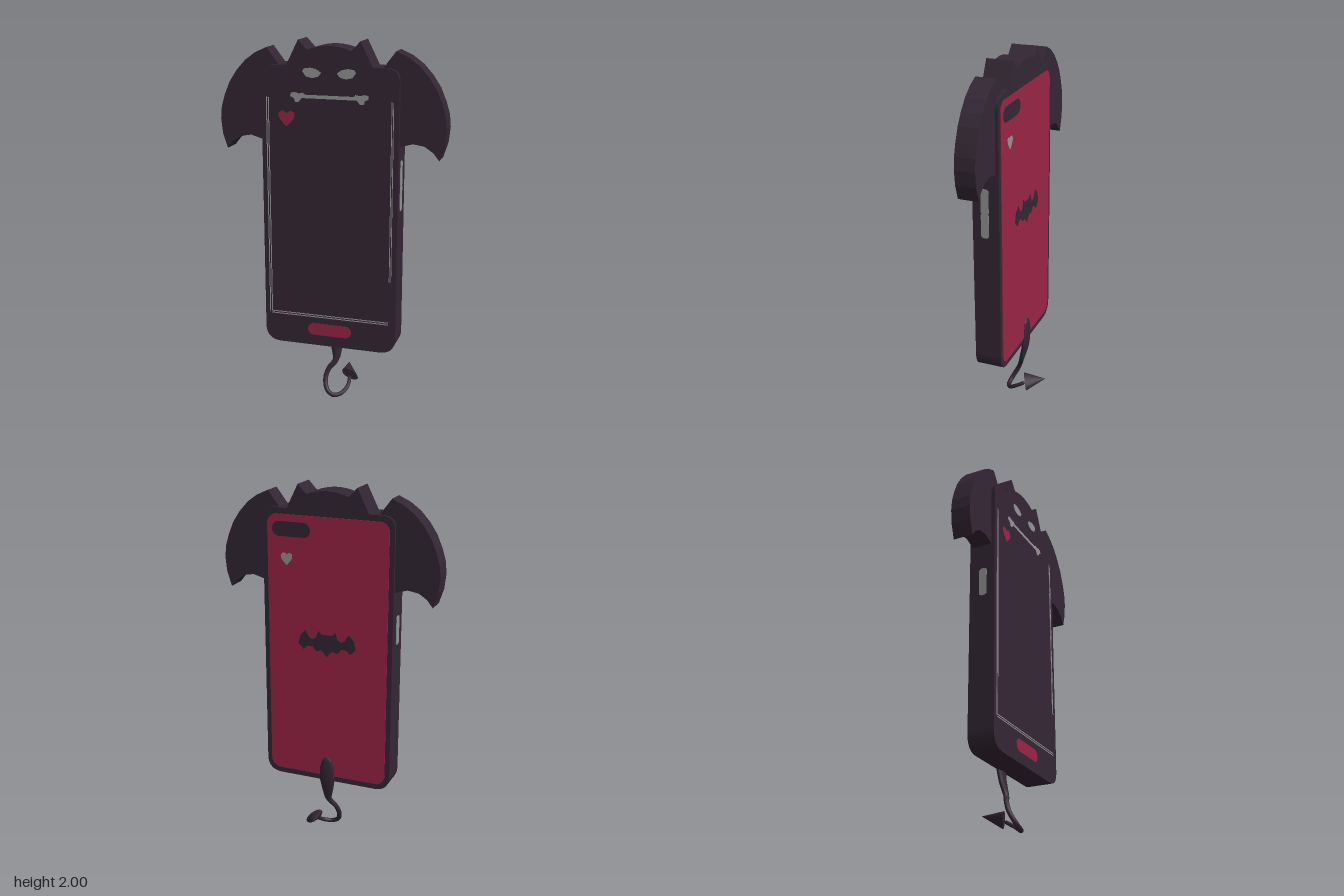
import * as THREE from 'three';

const dark = new THREE.MeshStandardMaterial({ color: 0x332633 });
dark.name = 'darkPlum';
const red = new THREE.MeshStandardMaterial({ color: 0x9a2446 });
red.name = 'crimson';
const grey = new THREE.MeshStandardMaterial({ color: 0x949496 });
grey.name = 'grey';

const FRONT = 0.14, BACK = -0.006;

// Closed outline from points, optionally mirrored in x
function outline(pts, sign = 1) {
  return new THREE.Shape(pts.map(([x, y]) => new THREE.Vector2(x * sign, y)));
}

function roundedRect(x0, y0, x1, y1, r) {
  const s = new THREE.Shape();
  s.absarc(x1 - r, y1 - r, r, 0, Math.PI / 2);
  s.absarc(x0 + r, y1 - r, r, Math.PI / 2, Math.PI);
  s.absarc(x0 + r, y0 + r, r, Math.PI, Math.PI * 1.5);
  s.absarc(x1 - r, y0 + r, r, Math.PI * 1.5, Math.PI * 2);
  return s;
}

function heart(cx, cy, w, h) {
  const s = new THREE.Shape();
  s.moveTo(cx, cy - h / 2);
  s.bezierCurveTo(cx - w * 0.3, cy - h * 0.2, cx - w * 0.55, cy, cx - w * 0.5, cy + h * 0.25);
  s.bezierCurveTo(cx - w * 0.4, cy + h * 0.55, cx - w * 0.1, cy + h * 0.5, cx, cy + h * 0.28);
  s.bezierCurveTo(cx + w * 0.1, cy + h * 0.5, cx + w * 0.4, cy + h * 0.55, cx + w * 0.5, cy + h * 0.25);
  s.bezierCurveTo(cx + w * 0.55, cy, cx + w * 0.3, cy - h * 0.2, cx, cy - h / 2);
  return s;
}

export function createModel() {
  const group = new THREE.Group();

  // Flat part extruded between z0 and z1
  function slab(name, shape, z0, z1, material) {
    const geo = new THREE.ExtrudeGeometry(shape, { depth: z1 - z0, bevelEnabled: false, curveSegments: 10 });
    geo.translate(0, 0, z0);
    const mesh = new THREE.Mesh(geo, material);
    mesh.name = name;
    group.add(mesh);
    return mesh;
  }
  const onFront = (name, shape, mat) => slab(name, shape, FRONT - 0.002, FRONT + 0.002, mat);

  // Case body with eared head on top
  const body = new THREE.Shape();
  body.moveTo(-0.28, 0.33);
  body.lineTo(0.28, 0.33);
  body.quadraticCurveTo(0.37, 0.33, 0.37, 0.42);
  body.lineTo(0.37, 1.80);
  body.quadraticCurveTo(0.37, 1.87, 0.30, 1.87);
  body.lineTo(0.23, 1.87);
  body.lineTo(0.165, 2.0);
  body.lineTo(0.118, 1.95);
  body.quadraticCurveTo(0, 1.995, -0.118, 1.95);
  body.lineTo(-0.165, 2.0);
  body.lineTo(-0.23, 1.87);
  body.lineTo(-0.30, 1.87);
  body.quadraticCurveTo(-0.37, 1.87, -0.37, 1.80);
  body.lineTo(-0.37, 0.42);
  body.quadraticCurveTo(-0.37, 0.33, -0.28, 0.33);
  slab('caseBody', body, BACK, FRONT, dark);

  // Wings
  const wing = [
    [0.28, 1.87], [0.345, 1.955], [0.41, 1.925], [0.465, 1.885], [0.515, 1.83], [0.555, 1.77],
    [0.585, 1.70], [0.605, 1.635], [0.611, 1.57], [0.603, 1.49], [0.577, 1.41],
    [0.545, 1.45], [0.50, 1.48], [0.44, 1.49], [0.37, 1.47], [0.28, 1.47],
  ];
  slab('leftWing', outline(wing), 0.01, 0.12, dark);
  slab('rightWing', outline(wing, -1), 0.01, 0.12, dark);

  // Eyes and bone ends
  const eye = [[0.042, 1.835], [0.065, 1.852], [0.10, 1.86], [0.135, 1.855], [0.143, 1.84],
    [0.125, 1.815], [0.09, 1.807], [0.058, 1.815]];
  const boneEnd = [[0.13, 1.715], [0.14, 1.73], [0.165, 1.725], [0.185, 1.732], [0.208, 1.728],
    [0.21, 1.71], [0.19, 1.70], [0.185, 1.682], [0.165, 1.68], [0.15, 1.70]];
  for (const [side, s] of [['left', 1], ['right', -1]]) {
    onFront(side + 'Eye', outline(eye, s), grey);
    onFront(side + 'BoneEnd', outline(boneEnd, s), grey);
  }
  onFront('boneBar', roundedRect(-0.16, 1.702, 0.16, 1.72, 0.004), grey);

  // Thin double lines framing the screen
  const lines = [
    [-0.345, 0.50, -0.340, 1.70], [-0.334, 0.51, -0.329, 1.70],
    [0.330, 0.74, 0.334, 1.70], [0.339, 0.74, 0.343, 1.70],
    [-0.335, 0.505, 0.33, 0.51], [-0.335, 0.494, 0.33, 0.499],
  ];
  for (const [x0, y0, x1, y1] of lines) {
    onFront('screenLine', outline([[x0, y0], [x1, y0], [x1, y1], [x0, y1]]), grey);
  }
  onFront('frontHeart', heart(-0.232, 1.593, 0.088, 0.085), red);
  onFront('homeButton', roundedRect(-0.123, 0.39, 0.122, 0.458, 0.033), red);

  // Back panel with camera window, heart and bat silhouette
  slab('backPanel', roundedRect(-0.343, 0.362, 0.343, 1.838, 0.055), -0.010, 0, red);
  slab('cameraWindow', roundedRect(0.095, 1.72, 0.312, 1.80, 0.039), -0.013, -0.006, dark);
  slab('backHeart', heart(0.232, 1.60, 0.065, 0.07), -0.013, -0.006, grey);
  const half = [[0, 0.04], [0.03, 0.04], [0.05, 0.06], [0.062, 0.02], [0.085, 0.008], [0.105, 0.02], [0.125, 0.056],
    [0.155, 0.025], [0.167, -0.025], [0.135, -0.055], [0.115, -0.035], [0.085, -0.03], [0.06, -0.058],
    [0.03, -0.05], [0, -0.085]];
  const bat = [...half, ...half.slice(1, -1).reverse().map(([x, y]) => [-x, y])];
  slab('batShape', outline(bat.map(([x, y]) => [x, y + 1.16])), -0.013, -0.006, dark);

  // Side buttons
  function sideButton(name, x, y0, y1) {
    const mesh = slab(name, roundedRect(-0.022, y0, 0.022, y1, 0.016), -0.003, 0.003, grey);
    mesh.rotation.y = Math.PI / 2;
    mesh.position.set(x, 0, 0.072);
  }
  sideButton('volumeUpButton', 0.37, 1.25, 1.39);
  sideButton('volumeDownButton', 0.37, 1.12, 1.26);
  sideButton('powerButton', -0.37, 1.17, 1.33);

  // Curled tail: tube whose width and thickness change along its length
  const path = new THREE.CatmullRomCurve3([
    [0, 0.475, -0.010], [0, 0.44, -0.012], [0, 0.36, -0.010], [0, 0.28, 0], [0, 0.2, 0.02],
    [-0.035, 0.15, 0.04], [-0.048, 0.10, 0.06], [-0.030, 0.04, 0.09], [0.01, 0.016, 0.097],
    [0.05, 0.024, 0.075], [0.075, 0.055, 0.03], [0.07, 0.09, -0.03],
  ].map((p) => new THREE.Vector3(...p)));
  const widths = [0.022, 0.042, 0.046, 0.033, 0.018, 0.014, 0.014, 0.013, 0.012, 0.011, 0.01];
  const depths = [0.008, 0.013, 0.017, 0.017, 0.014, 0.013, 0.013, 0.013, 0.012, 0.011, 0.01];
  const sample = (table, t) => {
    const i = Math.min(9, Math.floor(t * 10));
    return THREE.MathUtils.lerp(table[i], table[i + 1], t * 10 - i);
  };
  const N = 50, R = 12;
  const tailGeo = new THREE.TubeGeometry(path, N, 1, R, false);
  const pos = tailGeo.attributes.position;
  const v = new THREE.Vector3();
  for (let i = 0; i <= N; i++) {
    const c = path.getPointAt(i / N);
    const end = i === 0 || i === N ? 0 : 1;
    const w = sample(widths, i / N) * end, d = sample(depths, i / N) * end;
    for (let j = 0; j <= R; j++) {
      const k = i * (R + 1) + j;
      v.fromBufferAttribute(pos, k).sub(c);
      pos.setXYZ(k, c.x + v.x * w, c.y + v.y * d, c.z + v.z * d);
    }
  }
  tailGeo.computeVertexNormals();
  const tail = new THREE.Mesh(tailGeo, dark);
  tail.name = 'tail';
  group.add(tail);

  // Flattened spade at the tail's end
  const base = new THREE.Vector3(0.07, 0.095, -0.03), tip = new THREE.Vector3(0.035, 0.12, -0.14);
  const axis = tip.clone().sub(base);
  const length = axis.length();
  axis.normalize();
  const wide = new THREE.Vector3(0.08, -0.07, -0.04);
  wide.addScaledVector(axis, -wide.dot(axis)).normalize();
  const thin = new THREE.Vector3().crossVectors(wide, axis);
  const spadeGeo = new THREE.ConeGeometry(1, length, 16, 1);
  spadeGeo.translate(0, length / 2, 0);
  spadeGeo.scale(0.055, 1, 0.026);
  spadeGeo.applyMatrix4(new THREE.Matrix4().makeBasis(wide, axis, thin).setPosition(base));
  const spade = new THREE.Mesh(spadeGeo, dark);
  spade.name = 'tailSpade';
  group.add(spade);

  return group;
}
